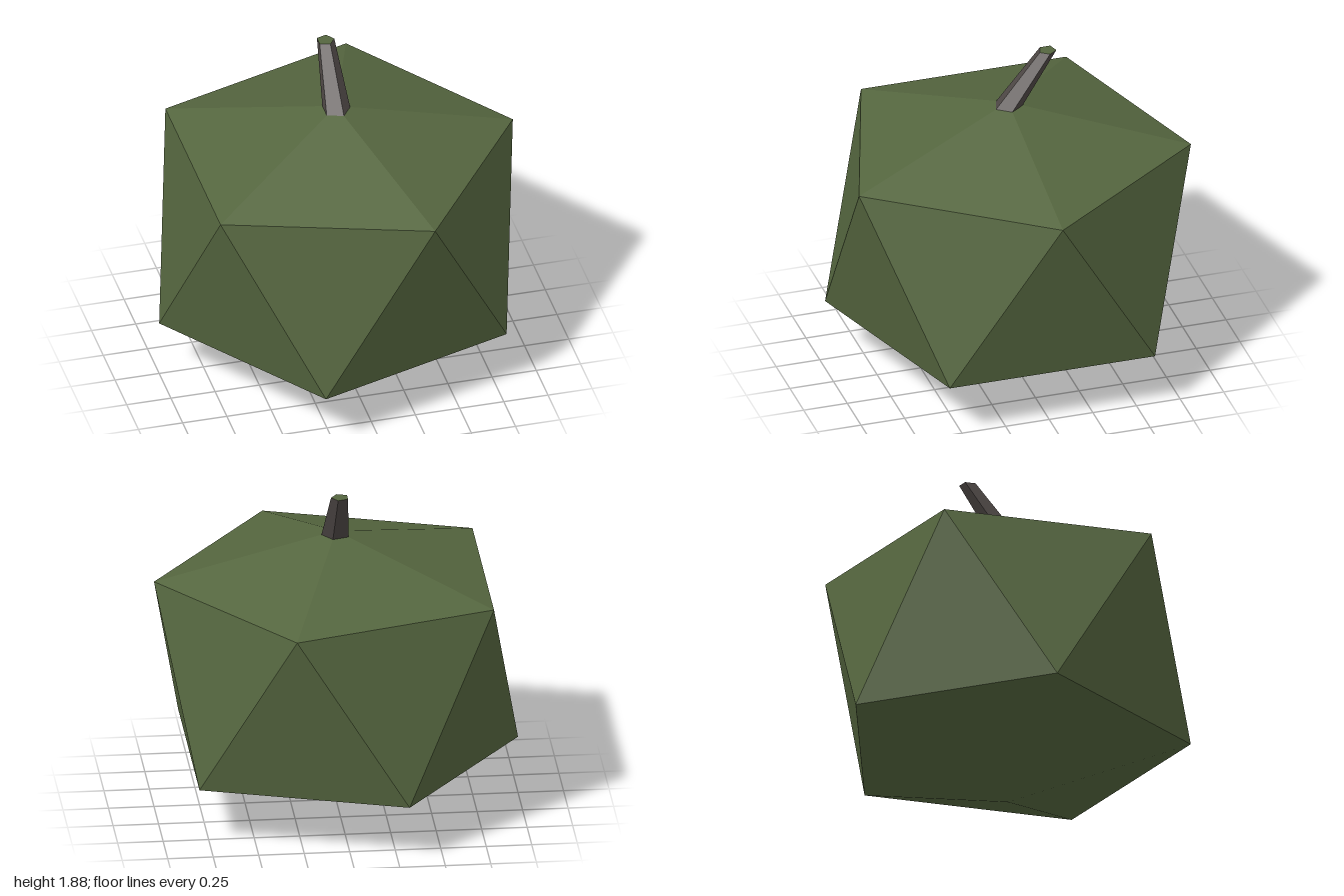
import * as THREE from 'three';

const SIDES = 5;

// Five-sided ring around the y axis, optionally turned and shifted in z
function ring(radius, y, turn = 0, z = 0) {
  return Array.from({ length: SIDES }, (_, i) => {
    const a = ((i + turn) / SIDES) * Math.PI * 2;
    return [radius * Math.cos(a), y, z + radius * Math.sin(a)];
  });
}

// Flat-shaded mesh from a list of triangles
function facetMesh(name, triangles, material) {
  const geometry = new THREE.BufferGeometry();
  geometry.setAttribute('position', new THREE.Float32BufferAttribute(triangles.flat(2), 3));
  geometry.computeVertexNormals();
  const mesh = new THREE.Mesh(geometry, material);
  mesh.name = name;
  return mesh;
}

// Quads joining a lower ring to an aligned upper ring
function band(lower, upper) {
  return lower.flatMap((p, i) => {
    const j = (i + 1) % SIDES;
    return [[p, upper[i], upper[j]], [p, upper[j], lower[j]]];
  });
}

export function createModel() {
  const green = new THREE.MeshStandardMaterial({ color: 0x55663f, flatShading: true });
  green.name = 'moss green';
  const brown = new THREE.MeshStandardMaterial({ color: 0x4f4846, flatShading: true });
  brown.name = 'stem brown';

  const bottom = [0, 0, 0];
  const low = ring(1, 0.33, 0.5);
  const high = ring(1, 1.33);
  const stemBase = ring(0.08, 1.57);
  const stemTop = ring(0.05, 1.88, 0, -0.225);

  // Faceted body: bottom cone, zigzag sides, sloping shoulders
  const body = band(high, stemBase);
  for (let i = 0; i < SIDES; i++) {
    const j = (i + 1) % SIDES;
    body.push([bottom, low[i], low[j]]);
    body.push([high[i], high[j], low[i]]);
    body.push([low[i], high[j], low[j]]);
  }

  // Cut end of the stem
  const centre = [0, 1.88, -0.225];
  const cap = stemTop.map((p, i) => [centre, stemTop[(i + 1) % SIDES], p]);

  const group = new THREE.Group();
  group.name = 'gourd';
  group.add(
    facetMesh('body', body, green),
    facetMesh('stem', band(stemBase, stemTop), brown),
    facetMesh('stemTip', cap, green),
  );
  return group;
}
